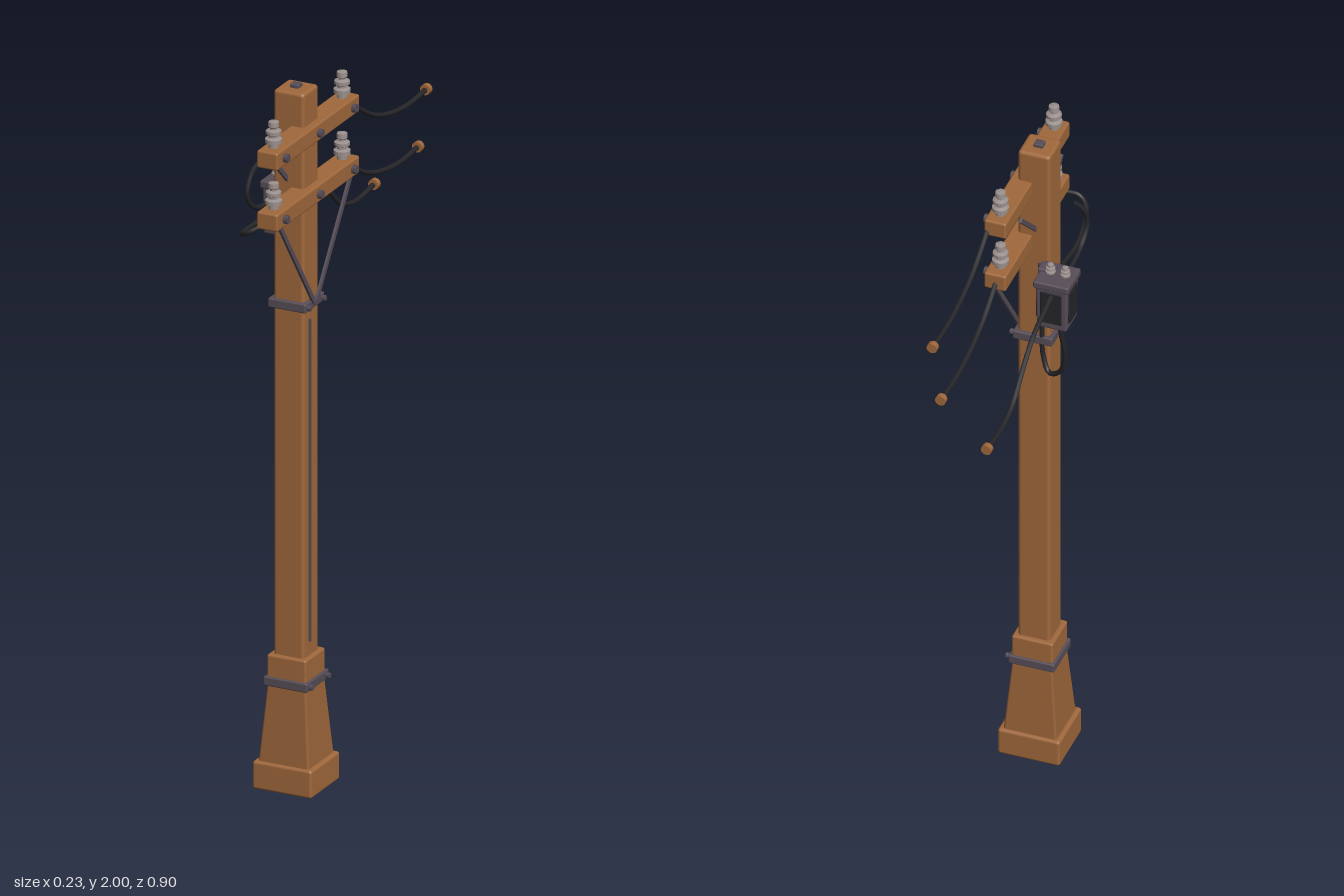
import * as THREE from 'three';
import { RoundedBoxGeometry } from 'three/addons/geometries/RoundedBoxGeometry.js';

const paint = (color) => new THREE.MeshStandardMaterial({ color });
const WOOD = paint(0xa0683c);
const METAL = paint(0x574d57);
const CABLE = paint(0x26262a);
const CERAMIC = paint(0x9a8f8c);
const PX = 0.025, PZ = 0.203; // pole axis

export function createModel() {
  const root = new THREE.Group();

  const add = (name, geometry, material, x = 0, y = 0, z = 0, parent = root) => {
    const mesh = new THREE.Mesh(geometry, material);
    mesh.name = name;
    mesh.position.set(x, y, z);
    parent.add(mesh);
    return mesh;
  };
  const block = (name, w, h, d, material, x, y, z, r = 0.006) =>
    add(name, new RoundedBoxGeometry(w, h, d, 2, r), material, x, y, z);
  // scales the cross-section linearly from bottom to top
  const taper = (geometry, h, bottom, top) => {
    const p = geometry.attributes.position;
    for (let i = 0; i < p.count; i++) {
      const s = THREE.MathUtils.lerp(bottom, top, p.getY(i) / h + 0.5);
      p.setX(i, p.getX(i) * s);
      p.setZ(i, p.getZ(i) * s);
    }
    return geometry;
  };
  const cable = (name, points, radius = 0.007) => {
    const curve = new THREE.CatmullRomCurve3(points.map((p) => new THREE.Vector3(...p)));
    return add(name, new THREE.TubeGeometry(curve, 40, radius, 8), CABLE);
  };
  // flat bar between two points in a plane of constant x
  const bar = (name, x, y1, z1, y2, z2) => {
    const length = Math.hypot(y2 - y1, z2 - z1);
    const mesh = add(name, new THREE.BoxGeometry(0.007, length, 0.013), METAL,
      x, (y1 + y2) / 2, (z1 + z2) / 2);
    mesh.rotation.x = Math.atan2(z2 - z1, y2 - y1);
  };
  // hexagonal bolt pointing along +x
  const bolt = (x, y, z, r = 0.012, length = 0.014) => {
    const mesh = add('bolt', new THREE.CylinderGeometry(r, r, length, 6), METAL, x, y, z);
    mesh.rotation.z = -Math.PI / 2;
  };

  // Pole and stepped base
  block('baseFoot', 0.176, 0.08, 0.17, WOOD, PX, 0.04, PZ, 0.008);
  add('baseTaper', taper(new RoundedBoxGeometry(0.12, 0.24, 0.12, 2, 0.006), 0.24, 1.27, 0.93),
    WOOD, PX, 0.19, PZ);
  block('baseCollar', 0.116, 0.09, 0.116, WOOD, PX, 0.335, PZ);
  block('pole', 0.091, 1.68, 0.09, WOOD, PX, 1.15, PZ, 0.01);
  block('poleCap', 0.026, 0.016, 0.026, METAL, PX, 1.992, PZ, 0.003);
  add('groundStrip', new THREE.BoxGeometry(0.006, 0.92, 0.008), METAL, PX + 0.047, 0.88, 0.215);

  // Metal straps with bolts
  for (const [y, w] of [[0.305, 0.13], [1.383, 0.112]]) {
    block('strap', w, 0.026, w, METAL, PX, y, PZ, 0.004);
    for (const s of [-1, 1]) bolt(PX + w / 2 + 0.004, y, PZ + s * w * 0.38, 0.008);
  }

  // Insulator profile: stacked skirts
  const profile = [[0, 0], [0.014, 0], [0.014, 0.012], [0.023, 0.015], [0.023, 0.026],
    [0.013, 0.03], [0.013, 0.036], [0.021, 0.04], [0.021, 0.049], [0.01, 0.053],
    [0.01, 0.057], [0.015, 0.061], [0.014, 0.074], [0, 0.077]]
    .map(([x, y]) => new THREE.Vector2(x, y));
  const insulatorMaterial = CERAMIC.clone();
  insulatorMaterial.flatShading = true;
  const insulatorGeometry = new THREE.LatheGeometry(profile, 16);

  // Crossarms with insulators and bolts
  for (const y of [1.87, 1.695]) {
    block('crossarm', 0.062, 0.05, 0.485, WOOD, 0.061, y, PZ);
    for (const z of [0.002, 0.404]) {
      add('insulator', insulatorGeometry, insulatorMaterial, 0.06, y + 0.024, z);
      bolt(0.098, y, z);
    }
    bolt(0.098, y, PZ);
  }

  // Diagonal braces
  for (const s of [-1, 1]) {
    bar('lowerBrace', 0.082, 1.675, PZ + s * 0.21, 1.385, PZ + s * 0.005);
    bar('upperBrace', 0.02, 1.85, PZ + s * 0.155, 1.71, PZ + s * 0.01);
  }

  // Transformer box with side panels, lid and bushings
  const tx = -0.07, tz = 0.081;
  add('transformerBody', taper(new RoundedBoxGeometry(0.09, 0.145, 0.09, 2, 0.006), 0.145, 0.94, 1),
    METAL, tx, 1.59, tz);
  block('transformerLid', 0.1, 0.022, 0.1, METAL, tx, 1.659, tz, 0.005);
  for (const s of [-1, 1]) {
    block('sidePanel', 0.006, 0.1, 0.06, CABLE, tx + s * 0.045, 1.59, tz, 0.002);
    add('bushing', insulatorGeometry, insulatorMaterial, tx + s * 0.021 - 0.003, 1.668, tz)
      .scale.set(0.6, 0.45, 0.6);
  }
  block('backPanel', 0.06, 0.1, 0.006, CABLE, tx, 1.59, tz - 0.045, 0.002);
  block('bracketCap', 0.045, 0.025, 0.04, METAL, -0.037, 1.665, 0.1, 0.005);
  for (const y of [1.555, 1.625]) {
    const arm = block('bracketArm', 0.024, 0.02, 0.1, METAL, -0.018, y, 0.135, 0.004);
    arm.rotation.y = 0.6;
  }

  // Outgoing lines, each ending in a wooden plug
  const sag = (x, dy) => [[x, 1.865 + dy, -0.025], [x, 1.835 + dy, -0.07], [x, 1.797 + dy, -0.14],
    [x, 1.77 + dy, -0.23], [x, 1.757 + dy, -0.34], [x, 1.763 + dy, -0.445]];
  const lines = [sag(0.084, 0), sag(0.06, -0.168),
    [[tx, 1.635, 0.06], [tx, 1.62, 0], [tx, 1.59, -0.1], [tx, 1.535, -0.18],
      [tx, 1.478, -0.25], [tx, 1.456, -0.33], [tx, 1.465, -0.445]]];
  for (const points of lines) {
    cable('powerLine', points);
    const plug = add('linePlug', new THREE.CylinderGeometry(0.015, 0.015, 0.016, 12), WOOD,
      ...points[points.length - 1]);
    plug.rotation.x = Math.PI / 2;
  }

  // Jumper cables around the transformer
  cable('dropLoop', [[-0.068, 1.53, 0.09], [-0.074, 1.45, 0.105], [-0.08, 1.38, 0.115],
    [-0.06, 1.31, 0.13], [-0.025, 1.288, 0.142], [-0.004, 1.33, 0.154], [0, 1.4, 0.154],
    [0, 1.52, 0.157]]);
  cable('armJumper', [[-0.055, 1.64, 0.11], [-0.05, 1.632, 0.18], [-0.05, 1.62, 0.27],
    [-0.04, 1.628, 0.37], [-0.02, 1.642, 0.43], [0.005, 1.655, 0.446], [0.04, 1.675, 0.425]]);
  cable('upperJumper', [[-0.073, 1.63, 0.12], [-0.074, 1.632, 0.2], [-0.074, 1.65, 0.26],
    [-0.077, 1.695, 0.29], [-0.07, 1.755, 0.272], [-0.05, 1.788, 0.25]]);

  return root;
}
